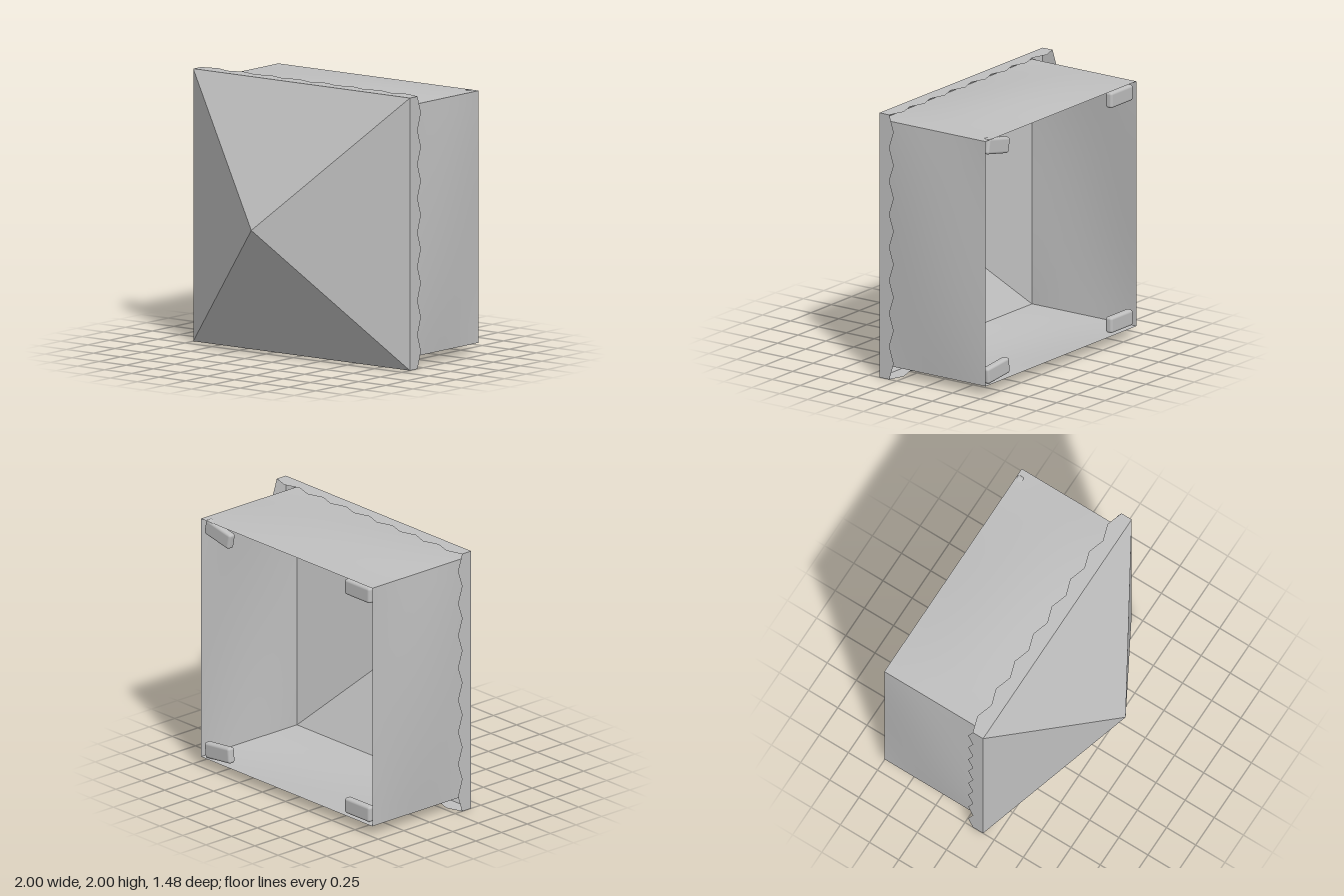
import * as THREE from 'three';
import { RoundedBoxGeometry } from 'three/addons/geometries/RoundedBoxGeometry.js';

const EAVE_Z = 0.155, BACK_Z = -0.74, APEX_Z = 0.74;
const WALL_HALF = 0.925, WALL_FRONT_Z = 0.195;

// One triangular slope of the pyramid canopy
function roofGeometry() {
  const g = new THREE.BufferGeometry();
  g.setAttribute('position', new THREE.Float32BufferAttribute(
    [-1, 1, EAVE_Z, 0, 0, APEX_Z, 1, 1, EAVE_Z], 3));
  g.computeVertexNormals();
  return g;
}

// Strip below the eave with a zigzag hem
function valanceGeometry() {
  const s = new THREE.Shape();
  s.moveTo(-1, -EAVE_Z);
  s.lineTo(1, -EAVE_Z);
  for (let i = 0; i <= 16; i++) s.lineTo(1 - i / 8, i % 2 ? -0.027 : -0.067);
  s.closePath();
  return new THREE.ShapeGeometry(s).rotateX(-Math.PI / 2).translate(0, 1, 0);
}

// Fabric wall, billowing gently outwards in the middle
function wallGeometry() {
  const depth = WALL_FRONT_Z - BACK_Z;
  const g = new THREE.PlaneGeometry(WALL_HALF * 2, depth, 16, 12);
  g.rotateX(-Math.PI / 2).translate(0, WALL_HALF, (WALL_FRONT_Z + BACK_Z) / 2);
  const p = g.attributes.position;
  for (let i = 0; i < p.count; i++) {
    const u = p.getX(i) / WALL_HALF, v = (p.getZ(i) - BACK_Z) / depth;
    p.setY(i, WALL_HALF + 0.036 * Math.sin(Math.PI * v) * (1 - u * u));
  }
  g.computeVertexNormals();
  return g;
}

export function createModel() {
  const model = new THREE.Group();
  model.name = 'canopyTent';
  const fabric = new THREE.MeshStandardMaterial({ color: 0xbfbfbf, side: THREE.DoubleSide });
  fabric.name = 'grey fabric';

  const add = (name, geometry, parent) => {
    const m = new THREE.Mesh(geometry, fabric);
    m.name = name;
    parent.add(m);
    return m;
  };

  // Four identical sides around the z axis
  const roof = roofGeometry(), valance = valanceGeometry(), wall = wallGeometry();
  ['top', 'left', 'bottom', 'right'].forEach((side, i) => {
    const group = new THREE.Group();
    group.name = side + 'Side';
    group.position.y = 1;
    group.rotation.z = -i * Math.PI / 2;
    add('roofPanel', roof, group);
    add('valance', valance, group);
    add('wall', wall, group);
    model.add(group);
  });

  // Short rounded bars in the corners of the open end: x sign, y sign, tilt
  const bar = new RoundedBoxGeometry(0.27, 0.12, 0.06, 3, 0.02);
  for (const [sx, sy, tilt] of [[1, 1, 0.2], [1, -1, -0.1], [-1, 1, 0], [-1, -1, 0]]) {
    const m = add('cornerBar', bar, model);
    m.position.set(sx * 0.755, 1 + sy * 0.85, -0.71);
    m.rotation.z = tilt;
  }
  return model;
}
